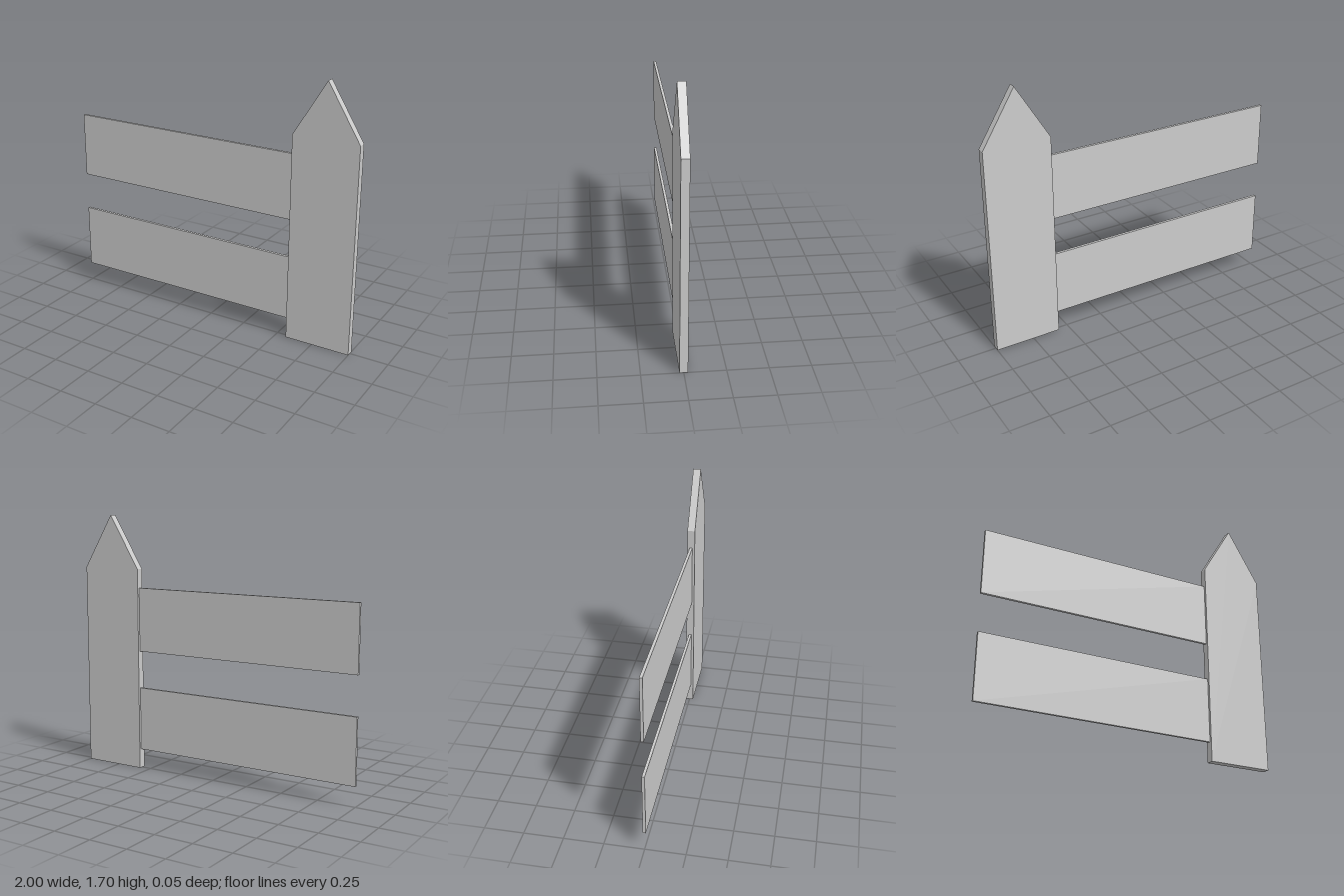
import * as THREE from 'three';

export function createModel() {
  const group = new THREE.Group();
  const material = new THREE.MeshStandardMaterial({ color: 0xcccccc, flatShading: true });

  // Pointed picket post
  const left = 0.57, right = 1, shoulder = 1.35, peak = 1.7, depth = 0.05;
  const outline = new THREE.Shape();
  outline.moveTo(left, 0);
  outline.lineTo(right, 0);
  outline.lineTo(right, shoulder);
  outline.lineTo((left + right) / 2, peak);
  outline.lineTo(left, shoulder);
  outline.closePath();
  const postGeometry = new THREE.ExtrudeGeometry(outline, { depth, bevelEnabled: false });
  postGeometry.translate(0, 0, -depth / 2);
  const post = new THREE.Mesh(postGeometry, material);
  post.name = 'post';
  group.add(post);

  // Two thin rails running from the post's inner side
  const railLength = left + 1, railHeight = 0.424;
  const rails = { lowerRail: 0.341, upperRail: 1.014 };
  for (const [name, y] of Object.entries(rails)) {
    const rail = new THREE.Mesh(new THREE.BoxGeometry(railLength, railHeight, 0.018), material);
    rail.position.set(-1 + railLength / 2, y, 0);
    rail.name = name;
    group.add(rail);
  }
  return group;
}
